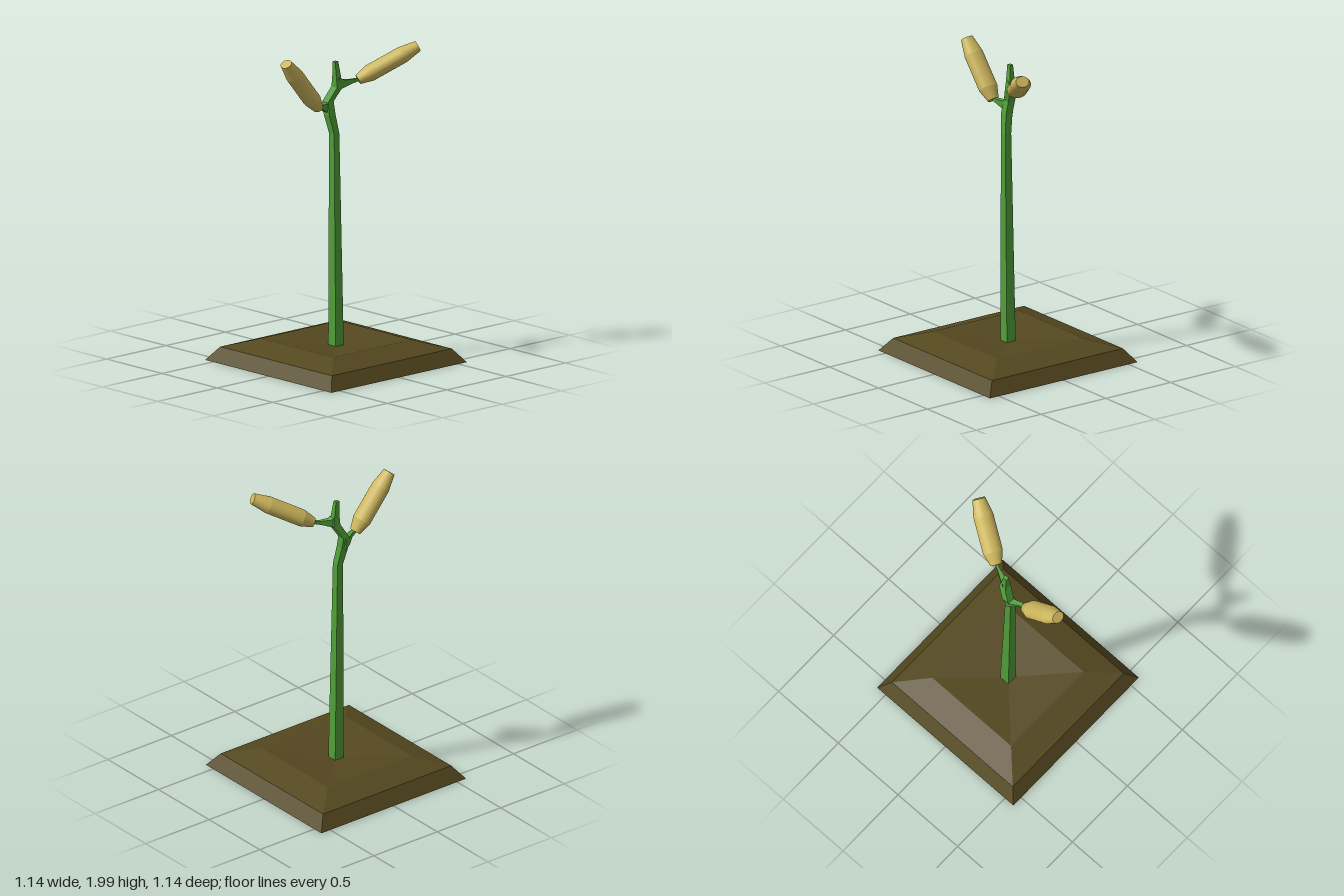
import * as THREE from 'three';

const X = new THREE.Vector3(1, 0, 0);
const Y = new THREE.Vector3(0, 1, 0);
const Z = new THREE.Vector3(0, 0, 1);

const paint = (color) => new THREE.MeshStandardMaterial({ color, flatShading: true });

// Four-sided loft. Each ring is [x, y, z, half size along u, half size along v];
// u cross v points along the direction of travel.
function loft(rings, u, v) {
  const signs = [[1, 1], [-1, 1], [-1, -1], [1, -1]];
  const corners = rings.map(([x, y, z, hu, hv]) => signs.map(([a, b]) =>
    new THREE.Vector3(x, y, z).addScaledVector(u, a * hu).addScaledVector(v, b * hv)));
  const out = [];
  const quad = (a, b, c, d) => [a, b, c, a, c, d].forEach((p) => out.push(p));
  for (let i = 0; i < corners.length - 1; i++) {
    const r = corners[i], s = corners[i + 1];
    for (let j = 0; j < 4; j++) quad(r[j], r[(j + 1) % 4], s[(j + 1) % 4], s[j]);
  }
  const first = corners[0], last = corners[corners.length - 1];
  quad(first[3], first[2], first[1], first[0]);
  quad(last[0], last[1], last[2], last[3]);
  const geometry = new THREE.BufferGeometry().setFromPoints(out);
  geometry.computeVertexNormals();
  return geometry;
}

function addMesh(group, name, geometry, material) {
  const mesh = new THREE.Mesh(geometry, material);
  mesh.name = name;
  group.add(mesh);
  return mesh;
}

// Barrel-shaped pod between two points, slightly flattened across its axis
function addPod(group, name, from, to, material) {
  const start = new THREE.Vector3(...from), end = new THREE.Vector3(...to);
  const axis = end.clone().sub(start);
  const length = axis.length();
  axis.normalize();
  const profile = [[0, 0], [0.037, 0], [0.063, 0.19], [0.063, 0.74], [0.041, 1], [0, 1]]
    .map(([r, t]) => new THREE.Vector2(r, t * length));
  const geometry = new THREE.LatheGeometry(profile, 32);
  geometry.scale(0.82, 1, 1);
  const side = axis.clone().cross(Y).normalize();
  const across = axis.clone().cross(side);
  geometry.applyMatrix4(new THREE.Matrix4().makeBasis(across, axis, side).setPosition(start));
  addMesh(group, name, geometry, material);
}

export function createModel() {
  const model = new THREE.Group();
  model.name = 'plant';
  const soil = paint(0x54481f);
  const green = paint(0x52a03a);
  const yellow = paint(0xcdb65c);

  // Soil mound with bevelled sides and a shallow dip around the stem
  addMesh(model, 'soilMound', loft([
    [0, 0, 0, 0.57, 0.57],
    [0, 0.085, 0, 0.505, 0.505],
    [0, 0.14, 0, 0.33, 0.33],
    [0, 0.1, 0, 0, 0],
  ], Z, X), soil);

  // Stem, bending near the top and ending in a thin tip
  addMesh(model, 'stem', loft([
    [0, 0.09, 0, 0.034, 0.034],
    [-0.017, 1.45, 0.002, 0.023, 0.022],
    [-0.037, 1.57, -0.018, 0.025, 0.026],
    [-0.033, 1.65, -0.036, 0.026, 0.023],
    [0.018, 1.74, -0.008, 0.026, 0.026],
    [0.014, 1.79, -0.008, 0.02, 0.02],
    [0.006, 1.9, -0.012, 0.012, 0.013],
  ], Z, X), green);

  // Side branches, tapering towards the pods
  addMesh(model, 'rightBranch', loft([
    [-0.03, 1.61, -0.036, 0.024, 0.045],
    [-0.065, 1.615, -0.032, 0.022, 0.027],
    [-0.11, 1.63, -0.01, 0.015, 0.015],
    [-0.155, 1.64, 0, 0.01, 0.01],
  ], Z, Y), green);
  addMesh(model, 'leftBranch', loft([
    [0.015, 1.76, -0.008, 0.04, 0.024],
    [0.05, 1.757, 0.005, 0.024, 0.018],
    [0.1, 1.765, 0.028, 0.013, 0.011],
    [0.15, 1.775, 0.05, 0.009, 0.008],
  ], Y, Z), green);

  // Pods
  addPod(model, 'rightPod', [-0.15, 1.63, 0], [-0.42, 1.957, 0], yellow);
  addPod(model, 'leftPod', [0.142, 1.772, 0.047], [0.466, 1.965, 0.24], yellow);

  return model;
}
